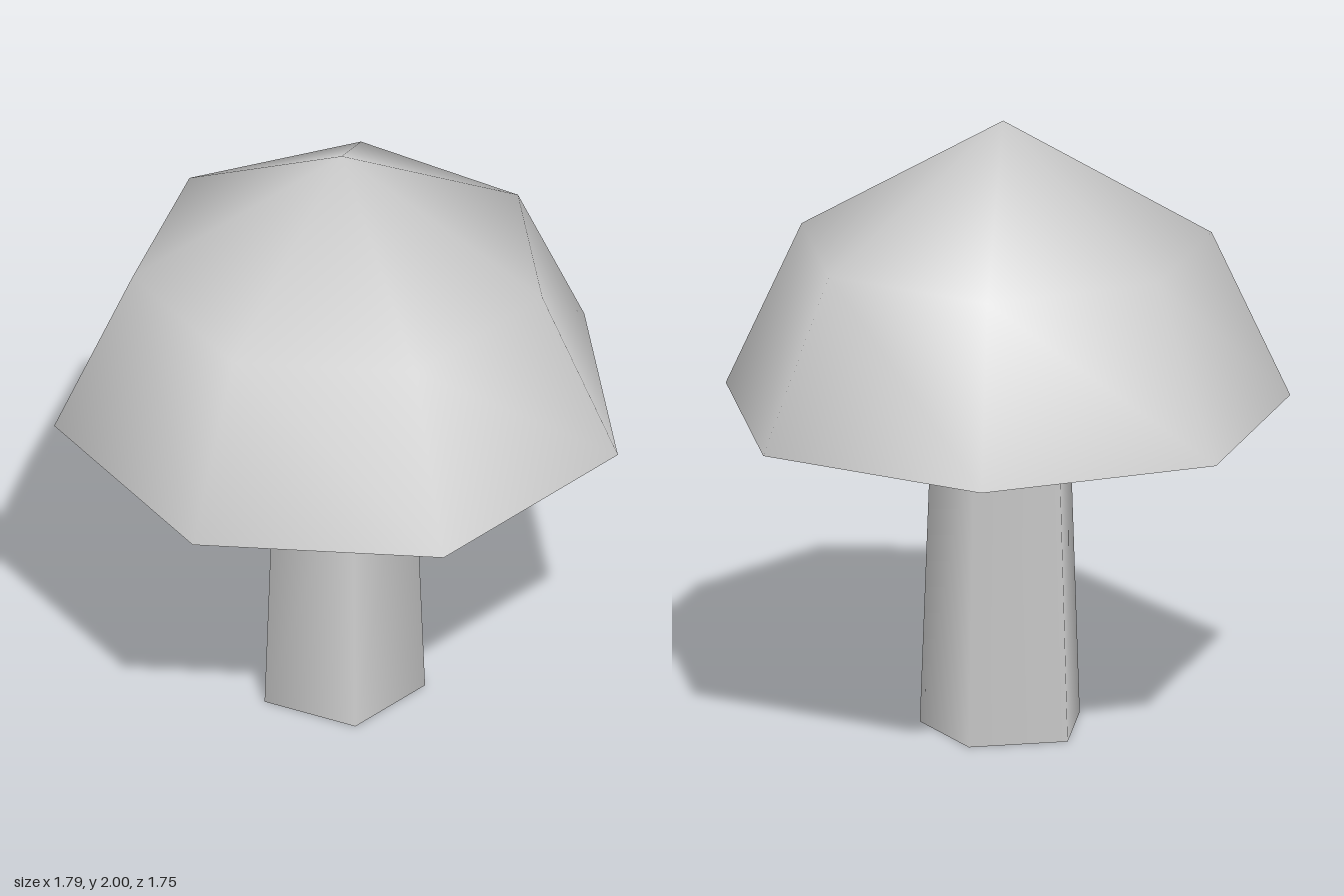
import * as THREE from 'three';
import { mergeVertices } from 'three/addons/utils/BufferGeometryUtils.js';

export function createModel() {
  const model = new THREE.Group();
  model.name = 'mushroom';

  const paleGrey = new THREE.MeshStandardMaterial({ color: 0xcccccc });
  paleGrey.name = 'paleGrey';

  const CENTER_Z = 0.043;
  const RIM_Y = 1.05;
  const RIM_R = 0.918;

  const add = (name, geometry, x, y, z) => {
    const mesh = new THREE.Mesh(geometry, paleGrey);
    mesh.name = name;
    mesh.position.set(x, y, z);
    model.add(mesh);
    return mesh;
  };

  // Seven-sided cap dome, one corner to the back, welded for smooth shading
  const profile = [[RIM_R, 0], [0.667, 0.55], [0, 0.95]].map(([r, y]) => new THREE.Vector2(r, y));
  let dome = new THREE.LatheGeometry(profile, 7, Math.PI);
  dome.deleteAttribute('normal');
  dome.deleteAttribute('uv');
  dome = mergeVertices(dome, 1e-4);
  dome.computeVertexNormals();
  add('cap', dome, 0, RIM_Y, CENTER_Z);

  // Flat underside of the cap
  const underside = new THREE.CircleGeometry(RIM_R, 7, Math.PI / 2);
  underside.rotateX(Math.PI / 2);
  underside.rotateY(Math.PI);
  // after the turns a corner must point to -z, like the dome
  add('capUnderside', underside, 0, RIM_Y, CENTER_Z);

  // Five-sided tapering stem, one corner to the back
  const stem = new THREE.CylinderGeometry(0.232, 0.271, RIM_Y, 5, 1, false, Math.PI);
  add('stem', stem, -0.008, RIM_Y / 2, CENTER_Z);

  return model;
}
